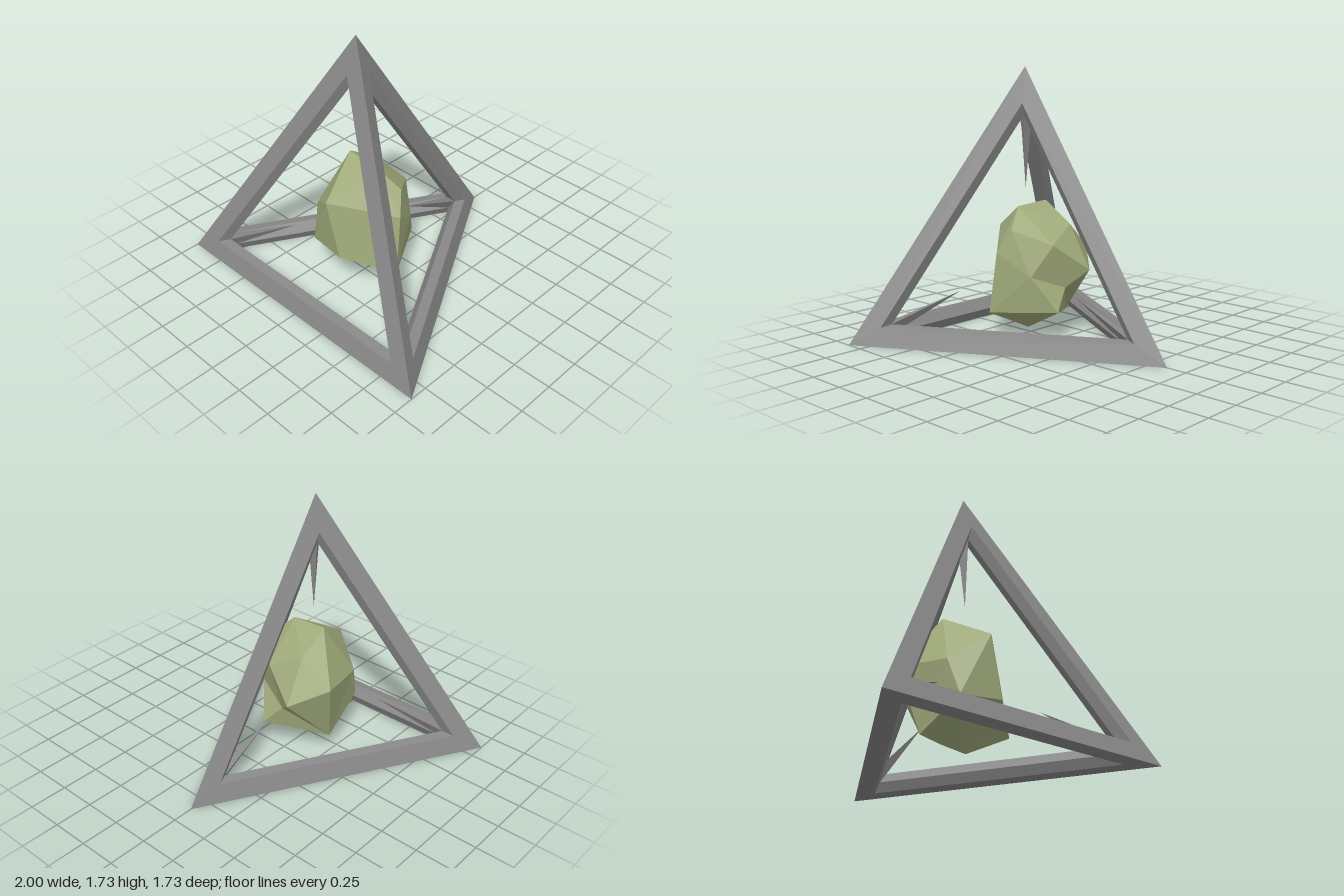
import * as THREE from 'three';
import { ConvexGeometry } from 'three/addons/geometries/ConvexGeometry.js';

const V = (x, y, z) => new THREE.Vector3(x, y, z);

// Flat-shaded geometry from a list of polygons, each fanned into triangles
function fromPolygons(polygons) {
  const points = [];
  for (const p of polygons)
    for (let i = 1; i < p.length - 1; i++) points.push(p[0], p[i], p[i + 1]);
  const geometry = new THREE.BufferGeometry().setFromPoints(points);
  geometry.computeVertexNormals();
  return geometry;
}

// Pyramid corners: top, front right, front left, back
const corners = [V(0, 1.73, 0.289), V(-1, 0, 0.866), V(1, 0, 0.866), V(0, 0, -0.866)];
const spikeTips = [V(0, 0.955, 0.289), V(-0.38, 0.3, 0.508), V(0.38, 0.3, 0.508), V(0, 0.3, -0.145)];
const faces = [[0, 1, 2], [0, 2, 3], [0, 3, 1], [1, 3, 2]];

function pyramidParts() {
  const centre = V(0, 0.433, 0.289);
  // Each face has an outer hole and a smaller hole sunk towards the centre
  const rims = faces.map((face) => {
    const mid = V(0, 0, 0);
    face.forEach((i) => mid.addScaledVector(corners[i], 1 / 3));
    const sunk = mid.clone().lerp(centre, 0.139);
    const hole = {}, inner = {};
    face.forEach((i) => {
      const arm = corners[i].clone().sub(mid);
      hole[i] = mid.clone().addScaledVector(arm, 0.8);
      inner[i] = sunk.clone().addScaledVector(arm, 0.75);
    });
    return { hole, inner };
  });

  const bars = [], spikes = [];
  faces.forEach((face, f) => face.forEach((a, k) => {
    const b = face[(k + 1) % 3];
    const { hole, inner } = rims[f];
    bars.push([corners[a], corners[b], hole[b], hole[a]]);
    bars.push([hole[a], hole[b], inner[b], inner[a]]);
    // Back strip of each bar joins the two faces sharing the edge
    const g = faces.findIndex((o, n) => n !== f && o.includes(a) && o.includes(b));
    if (g > f) {
      const other = rims[g].inner;
      bars.push([inner[a], inner[b], other[b], other[a]]);
      spikes.push([inner[a], other[a], spikeTips[a]], [other[b], inner[b], spikeTips[b]]);
    }
  }));
  return { bars, spikes };
}

// Rough stone: points are joined by direction from the middle, so dents survive
function stoneGeometry() {
  const middle = V(0, 0.45, 0.22);
  const points = [
    V(-0.13, 0.865, 0.235), V(0.12, 0.85, 0.24), V(0.25, 0.72, 0.17),
    V(-0.13, 0.73, 0.02), V(0.09, 0.625, -0.04), V(-0.145, 0.45, -0.135),
    V(0.21, 0.43, 0.04), V(0.1, 0.205, -0.09), V(-0.02, 0.34, -0.04),
    V(0.31, 0.575, 0.24), V(0.33, 0.185, 0.29), V(-0.335, 0.555, 0.06),
    V(-0.245, 0.51, 0.42), V(-0.21, 0.28, 0.49), V(0.065, 0.295, 0.53),
    V(-0.02, 0.68, 0.55), V(-0.25, 0.12, 0.17), V(0.03, 0.04, 0.24),
  ];
  const directions = points.map((p) => p.clone().sub(middle).normalize());
  const geometry = new ConvexGeometry(directions);
  const position = geometry.attributes.position;
  const v = V(0, 0, 0);
  for (let i = 0; i < position.count; i++) {
    v.fromBufferAttribute(position, i);
    let best = 0;
    directions.forEach((d, n) => { if (d.dot(v) > directions[best].dot(v)) best = n; });
    position.setXYZ(i, ...points[best].toArray());
  }
  geometry.computeVertexNormals();
  return geometry;
}

export function createModel() {
  const frameGray = new THREE.MeshStandardMaterial({ color: 0x888888 });
  frameGray.name = 'frameGray';
  const stoneGreen = new THREE.MeshStandardMaterial({ color: 0xa0aa7a });
  stoneGreen.name = 'stoneGreen';

  const model = new THREE.Group();
  model.name = 'cagedStone';
  const add = (name, geometry, material) => {
    const mesh = new THREE.Mesh(geometry, material);
    mesh.name = name;
    model.add(mesh);
  };

  const { bars, spikes } = pyramidParts();
  add('pyramidFrame', fromPolygons(bars), frameGray);
  add('cornerSpikes', fromPolygons(spikes), frameGray);
  add('stone', stoneGeometry(), stoneGreen);
  return model;
}
